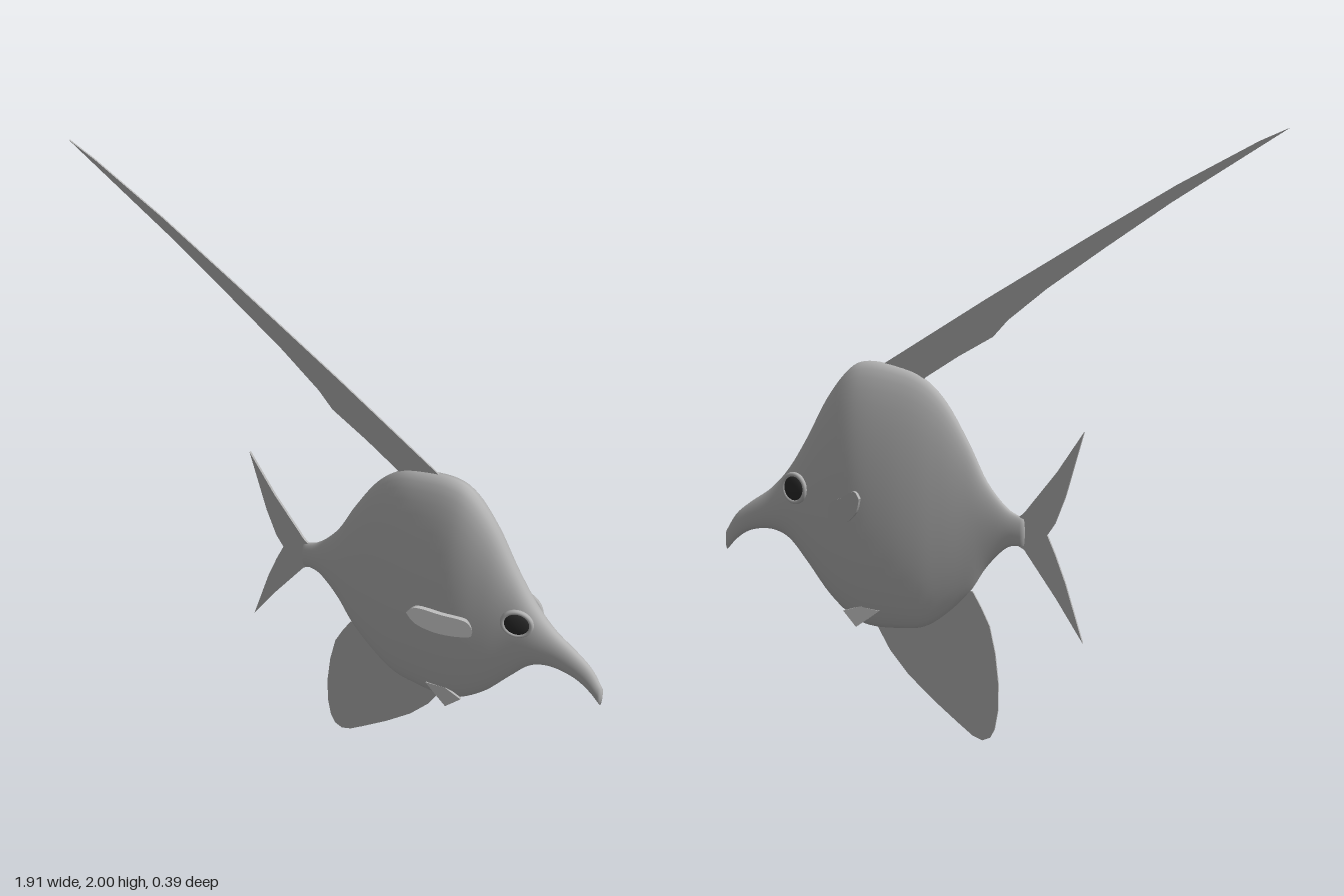
import * as THREE from 'three';

const skin = new THREE.MeshStandardMaterial({ color: 0xb2b2b2 });
skin.name = 'grey skin';
const finSkin = new THREE.MeshStandardMaterial({ color: 0xb2b2b2, side: THREE.DoubleSide });
finSkin.name = 'grey fin';
const dark = new THREE.MeshStandardMaterial({ color: 0x2a2a2a });
dark.name = 'dark eye';

// Body stations from tail to snout: x, top y, bottom y, half width
const STATIONS = [
  [-0.13, 0.755, 0.665, 0.013], [-0.07, 0.785, 0.655, 0.018], [0, 0.865, 0.585, 0.026],
  [0.06, 0.98, 0.495, 0.036], [0.14, 1.11, 0.415, 0.053], [0.22, 1.185, 0.362, 0.069],
  [0.31, 1.216, 0.347, 0.081], [0.41, 1.228, 0.345, 0.087], [0.48, 1.2, 0.372, 0.083],
  [0.56, 1.1, 0.438, 0.069], [0.635, 0.965, 0.53, 0.054], [0.705, 0.855, 0.61, 0.043],
  [0.775, 0.78, 0.638, 0.031], [0.855, 0.725, 0.628, 0.023], [0.91, 0.68, 0.595, 0.018],
  [0.95, 0.62, 0.553, 0.012],
];

function mesh(name, geometry, material) {
  const m = new THREE.Mesh(geometry, material);
  m.name = name;
  return m;
}

// Loft elliptical rings through the stations and close both ends
function bodyGeometry() {
  const curve = (f) => new THREE.CatmullRomCurve3(STATIONS.map(f), false, 'catmullrom', 0.5);
  const outline = curve(([x, t, b]) => new THREE.Vector3(x, t, b));
  const width = curve((s) => new THREE.Vector3(s[3], 0, 0));
  const rings = 75, sides = 40, pos = [], index = [];
  for (let i = 0; i <= rings; i++) {
    const p = outline.getPoint(i / rings), w = width.getPoint(i / rings).x;
    for (let j = 0; j < sides; j++) {
      const a = (j / sides) * Math.PI * 2;
      const c = Math.cos(a), s = Math.sin(a);
      pos.push(p.x, (p.y + p.z) / 2 + (c * (p.y - p.z)) / 2, w * Math.sign(s) * Math.abs(s) ** 0.92);
    }
  }
  for (let i = 0; i < rings; i++) {
    for (let j = 0; j < sides; j++) {
      const k = (j + 1) % sides;
      const a = i * sides + j, b = i * sides + k, c = a + sides, d = b + sides;
      index.push(a, b, c, b, d, c);
    }
  }
  for (const end of [0, rings]) {
    const [x, t, b] = STATIONS[end ? STATIONS.length - 1 : 0];
    const centre = pos.length / 3;
    pos.push(x + (end ? 0.005 : -0.005), (t + b) / 2, 0);
    for (let j = 0; j < sides; j++) {
      const a = end * sides + j, n = end * sides + ((j + 1) % sides);
      if (end) index.push(centre, a, n);
      else index.push(centre, n, a);
    }
  }
  const g = new THREE.BufferGeometry();
  g.setAttribute('position', new THREE.Float32BufferAttribute(pos, 3));
  g.setIndex(index);
  g.computeVertexNormals();
  return g;
}

// Thin plate cut from an outline in the x-y plane, centred on z = 0
function plate(points, depth = 0.006) {
  const shape = new THREE.Shape(points.map(([x, y]) => new THREE.Vector2(x, y)));
  return new THREE.ExtrudeGeometry(shape, { depth, bevelEnabled: false }).translate(0, 0, -depth / 2);
}

// Smooth a closed outline
function rounded(points, n = 48) {
  const c = new THREE.SplineCurve([...points, points[0]].map(([x, y]) => new THREE.Vector2(x, y)));
  return c.getPoints(n).slice(0, -1).map((p) => [p.x, p.y]);
}

// Move each vertex sideways by a rule z(x, y)
function splay(geometry, side, rule) {
  const p = geometry.attributes.position;
  for (let i = 0; i < p.count; i++) {
    p.setZ(i, side * (p.getZ(i) + rule(p.getX(i), p.getY(i))));
  }
  geometry.computeVertexNormals();
  return geometry;
}

export function createModel() {
  const fish = new THREE.Group();
  fish.name = 'fish';
  fish.add(mesh('body', bodyGeometry(), skin));

  // Fins on the centre line
  fish.add(mesh('dorsalFin', plate([
    [0.37, 1.215], [0.34, 1.15], [0.23, 1.15], [0.215, 1.185], [0.1, 1.26], [-0.02, 1.33],
    [-0.07, 1.385], [-0.2, 1.49], [-0.39, 1.625], [-0.6, 1.77], [-0.96, 2],
    [-0.87, 1.96], [-0.62, 1.825], [-0.36, 1.67], [0, 1.45],
  ], 0.005), finSkin));
  fish.add(mesh('tailFin', plate([
    [-0.1, 0.75], [-0.13, 0.775], [-0.24, 0.915], [-0.33, 1.05], [-0.27, 0.84], [-0.235, 0.75],
    [-0.208, 0.71], [-0.235, 0.65], [-0.27, 0.56], [-0.33, 0.37], [-0.24, 0.505], [-0.13, 0.655],
    [-0.1, 0.67],
  ], 0.008), finSkin));
  fish.add(mesh('analFin', plate([
    [0.05, 0.5], [0.02, 0.45], [-0.01, 0.39], [-0.03, 0.3], [-0.041, 0.2], [-0.04, 0.11],
    [-0.028, 0.045], [-0.012, 0.014], [0.015, 0.002], [0.05, 0.014], [0.1, 0.05], [0.19, 0.118],
    [0.28, 0.195], [0.345, 0.27], [0.395, 0.355], [0.3, 0.42], [0.15, 0.47],
  ]), finSkin));

  for (const side of [1, -1]) {
    const label = side > 0 ? 'left' : 'right';

    // Side fins sweep back and outward
    const pectoral = plate(rounded([
      [0.358, 0.815], [0.385, 0.834], [0.45, 0.8], [0.515, 0.765], [0.53, 0.705],
      [0.49, 0.7], [0.43, 0.722], [0.38, 0.765],
    ]), 0.014);
    fish.add(mesh(label + 'PectoralFin', splay(pectoral, side,
      (x, y) => 0.072 + (0.53 - x) * 0.63 + (y - 0.76) * 0.12), finSkin));

    const pelvic = plate([[0.36, 0.412], [0.395, 0.385], [0.44, 0.353], [0.49, 0.4], [0.43, 0.42]], 0.008);
    fish.add(mesh(label + 'PelvicFin', splay(pelvic, side, (x, y) => 0.048 + (0.41 - y) * 0.18), finSkin));

    // Eye with a raised rim, facing slightly forward
    const eye = new THREE.Group();
    eye.name = label + 'Eye';
    eye.position.set(0.668, 0.795, side * 0.045);
    eye.rotation.y = side > 0 ? 0.25 : Math.PI - 0.25;
    const rim = mesh('eyeRim', new THREE.TorusGeometry(0.046, 0.008, 12, 40), skin);
    const ball = mesh('eyeball', new THREE.SphereGeometry(0.043, 32, 20), dark);
    ball.scale.z = 0.3;
    eye.add(rim, ball);
    fish.add(eye);
  }
  return fish;
}
